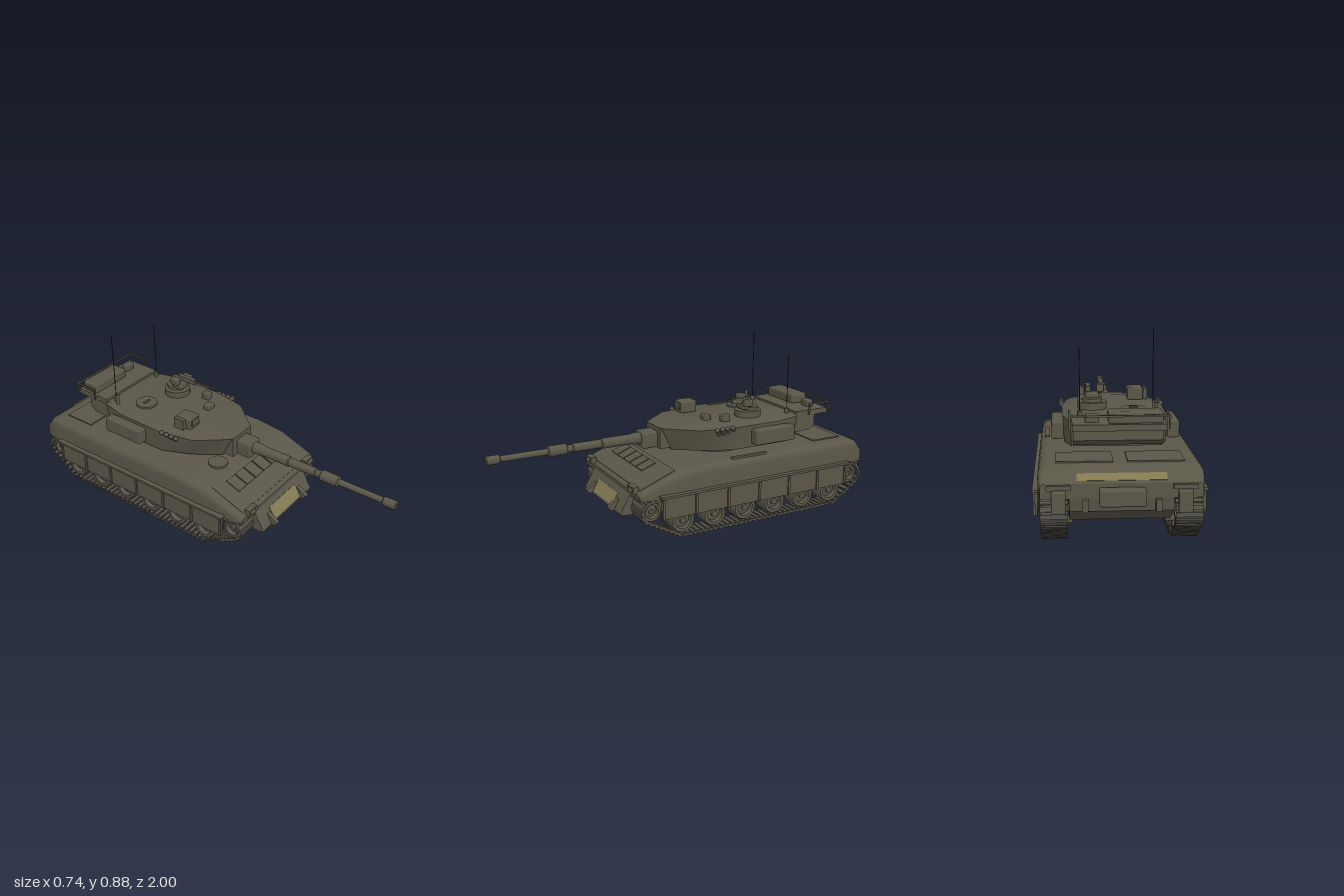
import * as THREE from 'three';
import { toCreasedNormals } from 'three/addons/utils/BufferGeometryUtils.js';
import { RoundedBoxGeometry } from 'three/addons/geometries/RoundedBoxGeometry.js';

const material = (name, color) => Object.assign(new THREE.MeshStandardMaterial({ color }), { name });
const paint = material('olive drab', 0x5a5648);
const steel = material('track steel', 0x535047);
const patch = material('faded yellow', 0x857c54);
const dark = material('antenna black', 0x24231f);

export function createModel() {
  const root = new THREE.Group();
  root.name = 'tank';

  const add = (name, geo, mat = paint, x = 0, y = 0, z = 0, rx = 0, ry = 0, rz = 0) => {
    const m = new THREE.Mesh(geo, mat);
    m.name = name;
    m.position.set(x, y, z);
    m.rotation.set(rx, ry, rz);
    root.add(m);
    return m;
  };
  const box = (name, w, h, d, x, y, z, mat = paint, rx = 0, ry = 0, rz = 0) =>
    add(name, new THREE.BoxGeometry(w, h, d), mat, x, y, z, rx, ry, rz);
  const soft = (name, w, h, d, x, y, z, r = 0.008) =>
    add(name, new RoundedBoxGeometry(w, h, d, 2, r), paint, x, y, z);
  const cyl = (name, r, h, x, y, z, mat = paint, rx = 0, rz = 0, n = 20) =>
    add(name, toCreasedNormals(new THREE.CylinderGeometry(r, r, h, n), 0.6), mat, x, y, z, rx, 0, rz);
  const pair = (fn) => [1, -1].forEach(fn);

  // Skin over matching rings, each counter-clockwise seen from the last ring's side
  const loft = (rings) => {
    const n = rings[0].length, idx = [];
    for (let i = 0; i < rings.length - 1; i++) for (let j = 0; j < n; j++) {
      const a = i * n + j, b = i * n + (j + 1) % n;
      idx.push(a, b, b + n, a, b + n, a + n);
    }
    const e = (rings.length - 1) * n;
    for (let j = 1; j < n - 1; j++) idx.push(0, j + 1, j, e, e + j, e + j + 1);
    const g = new THREE.BufferGeometry();
    g.setAttribute('position', new THREE.Float32BufferAttribute(rings.flat(2), 3));
    g.setIndex(idx);
    return toCreasedNormals(g, 0.55);
  };
  // Side profile given as [z, y], extruded across x
  const profile = (pts, w) => new THREE.ExtrudeGeometry(
    new THREE.Shape(pts.map((p) => new THREE.Vector2(...p))), { depth: w, bevelEnabled: false })
    .rotateY(-Math.PI / 2).translate(w / 2, 0, 0);

  // Upper hull: rounded shoulders, sloping glacis, rounded tail
  const hullRing = ([z, h, r, w]) => {
    const right = [[w, 0.225, z], [w, h - r, z]];
    for (let k = 1; k <= 5; k++) {
      const a = k * Math.PI / 10;
      right.push([w - r + r * Math.cos(a), h - r + r * Math.sin(a), z]);
    }
    return [...right, ...right.map(([x, y]) => [-x, y, z]).reverse()];
  };
  add('upperHull', loft([
    [-0.94, 0.29, 0.02, 0.335], [-0.91, 0.335, 0.035, 0.342], [-0.885, 0.348, 0.04, 0.345],
    [-0.85, 0.352, 0.04, 0.345], [0.02, 0.352, 0.04, 0.345], [0.17, 0.335, 0.04, 0.345],
    [0.355, 0.265, 0.025, 0.335], [0.372, 0.245, 0.012, 0.325]].map(hullRing)));

  // Lower hull and nose plate
  add('lowerHull', profile([[0.36, 0.23], [0.33, 0.14], [0.26, 0.1], [-0.82, 0.1], [-0.93, 0.17], [-0.94, 0.23]], 0.43));
  add('nosePlate', profile([[0.33, 0.226], [0.37, 0.226], [0.425, 0.13], [0.41, 0.122], [0.33, 0.115]], 0.44));
  box('nosePatch', 0.23, 0.07, 0.006, 0, 0.169, 0.4025, patch, -0.525);
  box('tailPatch', 0.37, 0.032, 0.006, 0, 0.313, -0.9255, patch, 0.588);

  // Glacis panels and driver's hatch
  box('glacisPlate', 0.6, 0.006, 0.2, 0, 0.3, 0.262, paint, 0.362);
  for (let i = 0; i < 5; i++)
    box('glacisPanel', 0.064, 0.016, 0.082, -0.18 + i * 0.0725, 0.313, 0.23, paint, 0.362);
  cyl('driverHatch', 0.05, 0.012, -0.13, 0.35, 0.08);
  cyl('turretRing', 0.2, 0.02, 0, 0.356, -0.22, paint, 0, 0, 36);

  // Engine deck panels
  pair((s) => box('engineCover', 0.24, 0.008, 0.17, s * 0.15, 0.354, -0.755));
  box('deckTool', 0.02, 0.016, 0.2, 0.312, 0.35, -0.24);

  // Rear fittings
  soft('rearBox', 0.19, 0.07, 0.06, 0, 0.24, -0.97);
  pair((s) => {
    soft('tailBox', 0.06, 0.095, 0.035, s * 0.26, 0.215, -0.952);
    box('tailLamp', 0.1, 0.02, 0.02, s * 0.26, 0.275, -0.945);
    box('towEye', 0.025, 0.05, 0.03, s * 0.15, 0.2, -0.95);
  });

  // Front fittings, fenders and skirts
  pair((s) => {
    box('headlightBase', 0.064, 0.034, 0.03, s * 0.255, 0.264, 0.372);
    box('headlight', 0.04, 0.018, 0.004, s * 0.258, 0.264, 0.388, patch);
    add('towHook', profile([[0.375, 0.183], [0.405, 0.18], [0.455, 0.145], [0.44, 0.128], [0.4, 0.125]], 0.024), paint, s * 0.135);
    box('fender', 0.036, 0.012, 1.12, s * 0.352, 0.232, -0.285);
    box('frontMudguard', 0.115, 0.01, 0.11, s * 0.278, 0.223, 0.318);
    for (let i = 0; i < 6; i++)
      box('skirtPanel', 0.012, 0.108, 0.178, s * 0.354, 0.174, 0.18 - i * 0.182);
    for (let i = 0; i < 7; i++)
      box('skirtStrap', 0.01, 0.1, 0.012, s * 0.362, 0.17, 0.262 - i * 0.18);
  });

  // Running gear
  const arcs = [[0.305, 0.155, 0.058, 90, -66], [0.13, 0.08, 0.074, -66, -90],
    [-0.756, 0.08, 0.074, -90, -121], [-0.88, 0.152, 0.064, -121, -270]];
  const beltPath = (off) => arcs.flatMap(([z, y, r, from, to]) =>
    Array.from({ length: 9 }, (_, k) => {
      const a = THREE.MathUtils.degToRad(from + (to - from) * k / 8);
      return new THREE.Vector2(z + (r + off) * Math.cos(a), y + (r + off) * Math.sin(a));
    }));
  const belt = new THREE.Shape(beltPath(0));
  belt.holes.push(new THREE.Path(beltPath(-0.012)));
  const beltGeo = new THREE.ExtrudeGeometry(belt, { depth: 0.113, bevelEnabled: false })
    .rotateY(-Math.PI / 2).translate(0.0565, 0, 0);
  const loop = new THREE.Path([...beltPath(0.001), beltPath(0.001)[0]]);
  const linkGeo = new THREE.BoxGeometry(0.115, 0.01, 0.019);
  const wheelGeo = (r, w) => {
    const half = [[0, 0.42], [0.22, 0.42], [0.26, 0.3], [0.62, 0.24], [0.68, 0.48], [0.94, 0.48], [1, 0.4]];
    const pts = [...half.map(([a, b]) => [a, -b]), ...half.slice().reverse()];
    return toCreasedNormals(new THREE.LatheGeometry(
      pts.map(([a, b]) => new THREE.Vector2(a * r, b * w)), 28).rotateZ(Math.PI / 2), 0.5);
  };
  const roadWheel = wheelGeo(0.063, 0.09), endWheel = wheelGeo(0.05, 0.09);
  pair((s) => {
    const x = s * 0.278;
    add('trackBelt', beltGeo, steel, x);
    for (let i = 0; i < 96; i++) {
      const p = loop.getPointAt(i / 96), t = loop.getTangentAt(i / 96);
      add('trackLink', linkGeo, steel, x, p.y, p.x, -Math.atan2(t.y, t.x));
    }
    for (let i = 0; i < 6; i++) {
      add('roadWheel', roadWheel, paint, x, 0.08, 0.134 - i * 0.178);
      cyl('wheelAxle', 0.016, 0.12, x - s * 0.02, 0.08, 0.134 - i * 0.178, paint, 0, Math.PI / 2, 12);
    }
    add('idlerWheel', endWheel, paint, x, 0.155, 0.305);
    add('driveSprocket', endWheel, paint, x, 0.152, -0.88);
    for (let i = 0; i < 12; i++) {
      const a = i * Math.PI / 6;
      box('sprocketTooth', 0.07, 0.014, 0.01, x, 0.152 + 0.048 * Math.cos(a), -0.88 + 0.048 * Math.sin(a), steel, a);
    }
  });

  // Turret shell: undercut cheeks, chamfered roof edge
  const turretRing = (y, pts) => [...pts.map(([x, z]) => [x, y, z]), ...pts.map(([x, z]) => [-x, y, z]).reverse()];
  add('turret', loft([
    turretRing(0.364, [[0.08, 0.07], [0.17, -0.06], [0.232, -0.2], [0.232, -0.5], [0.2, -0.59]]),
    turretRing(0.482, [[0.08, 0.128], [0.205, -0.02], [0.243, -0.2], [0.238, -0.48], [0.205, -0.61]]),
    turretRing(0.495, [[0.07, -0.01], [0.17, -0.05], [0.205, -0.2], [0.205, -0.47], [0.18, -0.6]])]));
  box('mantletHousing', 0.155, 0.108, 0.16, 0, 0.43, 0.055);
  soft('mantlet', 0.092, 0.084, 0.1, 0, 0.418, 0.165, 0.012);

  // Gun barrel with sleeves, bore evacuator and muzzle collar
  const barrel = [[0, 0.1], [0.03, 0.1], [0.03, 0.25], [0.026, 0.26], [0.026, 0.42], [0.022, 0.425], [0.022, 0.57],
    [0.018, 0.575], [0.018, 0.6], [0.027, 0.605], [0.027, 0.695], [0.016, 0.7], [0.015, 0.93],
    [0.022, 0.935], [0.022, 0.995], [0.018, 1], [0.01, 1], [0.01, 0.95], [0, 0.95]];
  add('gunBarrel', toCreasedNormals(new THREE.LatheGeometry(
    barrel.map((p) => new THREE.Vector2(...p)), 24).rotateX(Math.PI / 2), 0.5), paint, 0, 0.426, 0);

  // Side stowage and smoke launchers
  pair((s) => {
    soft('sideStowageBox', 0.055, 0.08, 0.235, s * 0.262, 0.425, -0.42);
    for (let i = 0; i < 4; i++)
      add('smokeLauncher', new THREE.CylinderGeometry(0.011, 0.011, 0.055, 12), paint,
        s * 0.232, 0.47, -0.11 - i * 0.03, 0.7, 0, -s * 0.6);
  });

  // Bustle, stowage shelf and rail
  add('bustle', profile([[-0.58, 0.39], [-0.7, 0.395], [-0.73, 0.42], [-0.73, 0.485], [-0.58, 0.49]], 0.39));
  box('stowageShelf', 0.4, 0.028, 0.2, 0, 0.49, -0.705);
  soft('stowageBox', 0.235, 0.055, 0.095, -0.07, 0.527, -0.737, 0.012);
  soft('smallStowageBox', 0.06, 0.04, 0.04, 0.115, 0.52, -0.738);
  box('rearRail', 0.424, 0.008, 0.008, 0, 0.54, -0.805);
  pair((s) => {
    box('sideRail', 0.008, 0.008, 0.13, s * 0.21, 0.54, -0.744);
    [-0.805, -0.683].forEach((z) => box('railPost', 0.008, 0.06, 0.008, s * 0.21, 0.513, z));
  });

  // Gunner's sight
  soft('gunnerSight', 0.076, 0.062, 0.092, -0.12, 0.526, -0.118);
  box('sightWindow', 0.056, 0.036, 0.006, -0.12, 0.532, -0.07);
  box('sightCheek', 0.02, 0.055, 0.06, -0.17, 0.525, -0.13);

  // Hatches and commander's machine gun
  cyl('loaderHatch', 0.056, 0.012, -0.09, 0.499, -0.42, paint, 0, 0, 28);
  box('loaderHatchHandle', 0.04, 0.008, 0.012, -0.09, 0.508, -0.42);
  cyl('commanderCupola', 0.068, 0.036, 0.1, 0.51, -0.365, paint, 0, 0, 28);
  cyl('cupolaCap', 0.045, 0.02, 0.1, 0.535, -0.375, paint, 0, 0, 24);
  soft('cupolaMount', 0.066, 0.034, 0.06, 0.1, 0.55, -0.345);
  soft('cupolaSight', 0.036, 0.036, 0.045, 0.062, 0.587, -0.345, 0.006);
  soft('ammunitionBox', 0.03, 0.034, 0.05, 0.15, 0.573, -0.335, 0.006);
  box('machineGunBody', 0.022, 0.026, 0.11, 0.118, 0.584, -0.31);
  cyl('machineGunBarrel', 0.006, 0.16, 0.118, 0.587, -0.193, paint, Math.PI / 2, 0, 10);
  soft('forwardSight', 0.05, 0.03, 0.04, 0.07, 0.507, -0.13, 0.006);
  soft('sideSight', 0.04, 0.036, 0.045, 0.145, 0.512, -0.2, 0.006);

  // Antennas and wind sensor
  [[-0.163, 0.88], [0.163, 0.803]].forEach(([x, top]) => {
    cyl('antennaBase', 0.012, 0.03, x, 0.505, -0.57, paint, 0, 0, 12);
    cyl('antenna', 0.0022, top - 0.5, x, (top + 0.5) / 2, -0.57, dark, 0, 0, 6);
  });
  cyl('windSensor', 0.009, 0.06, -0.182, 0.52, -0.54, paint, 0, 0, 12);

  return root;
}
